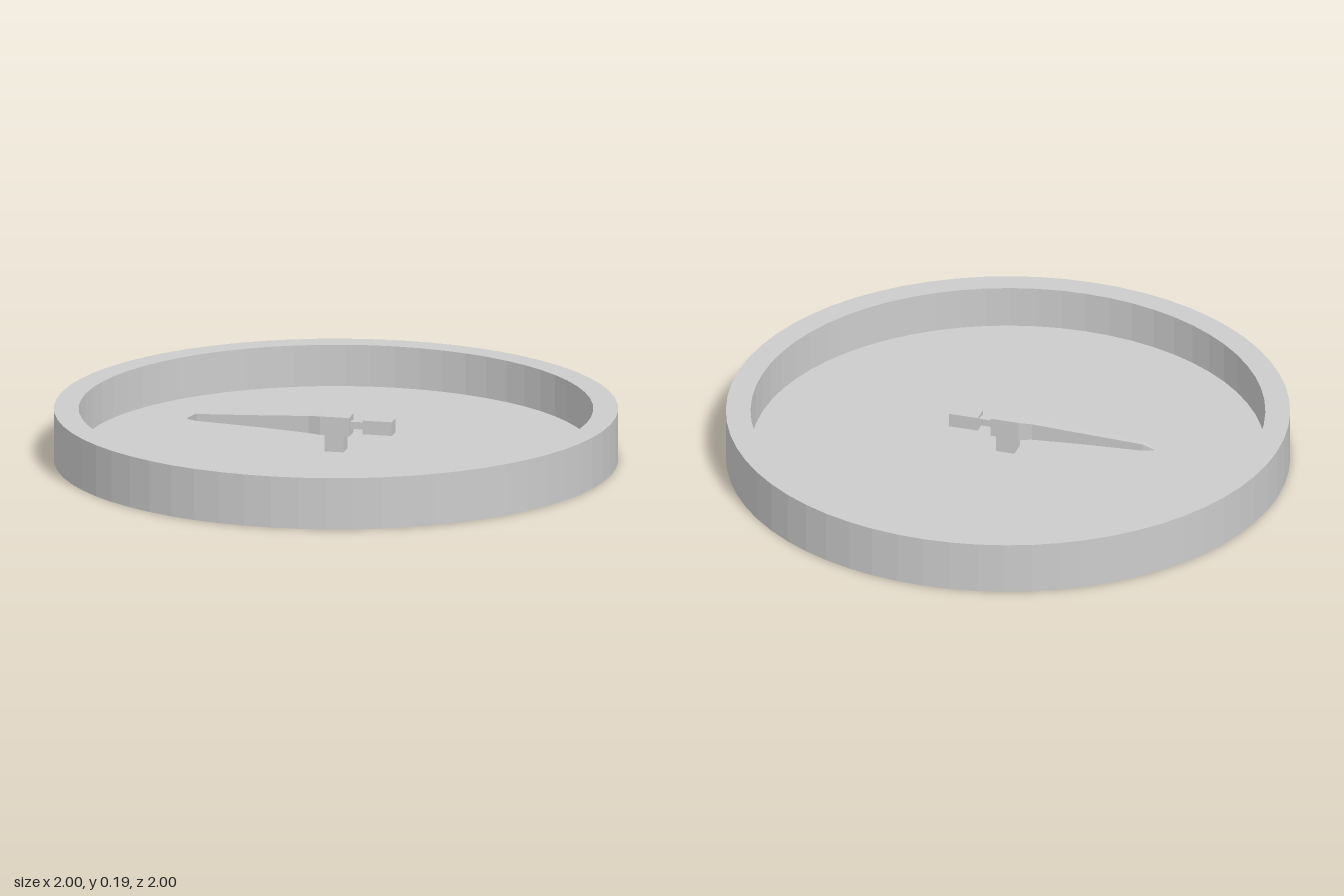
import * as THREE from 'three';

const material = new THREE.MeshStandardMaterial({ color: 0xcccccc, flatShading: true });

function add(group, name, geometry, x = 0, y = 0, z = 0) {
  const mesh = new THREE.Mesh(geometry, material);
  mesh.name = name;
  mesh.position.set(x, y, z);
  group.add(mesh);
}

// Skins a row of rectangular sections [x, halfWidth, bottom, top], listed from -x to +x
function loftSections(sections) {
  const positions = [];
  const index = [];
  for (const [x, w, bottom, top] of sections) {
    positions.push(x, bottom, w, x, bottom, -w, x, top, -w, x, top, w);
  }
  for (let s = 0; s < sections.length - 1; s++) {
    for (let k = 0; k < 4; k++) {
      const a = s * 4 + k;
      const b = s * 4 + ((k + 1) % 4);
      index.push(a, b, b + 4, a, b + 4, a + 4);
    }
  }
  const e = (sections.length - 1) * 4;
  index.push(0, 2, 1, 0, 3, 2, e, e + 1, e + 2, e, e + 2, e + 3);
  const geometry = new THREE.BufferGeometry();
  geometry.setAttribute('position', new THREE.Float32BufferAttribute(positions, 3));
  geometry.setIndex(index);
  geometry.computeVertexNormals();
  return geometry;
}

export function createModel() {
  const group = new THREE.Group();
  group.name = 'roundBasinWithArm';

  // Shallow round basin: underside, outer wall, rim, inner wall, floor
  const profile = [[0, 0], [1, 0], [1, 0.187], [0.912, 0.187], [0.912, 0.036], [0, 0.036]]
    .map(([r, y]) => new THREE.Vector2(r, y));
  add(group, 'basin', new THREE.LatheGeometry(profile, 64));

  // Square post on the basin floor
  add(group, 'post', new THREE.BoxGeometry(0.068, 0.075, 0.064), 0, 0.0725, 0);

  // Tapered arm with a wide hub and a pointed tip
  add(group, 'arm', loftSections([
    [-0.54, 0.002, 0.117, 0.122],
    [-0.505, 0.012, 0.115, 0.14],
    [-0.27, 0.016, 0.106, 0.15],
    [-0.095, 0.021, 0.097, 0.159],
    [-0.05, 0.033, 0.095, 0.163],
    [0.055, 0.033, 0.095, 0.163],
  ]));

  // Thin neck and counterweight behind the hub
  add(group, 'neck', new THREE.BoxGeometry(0.06, 0.026, 0.026), 0.08, 0.132, 0);
  add(group, 'counterweight', new THREE.BoxGeometry(0.107, 0.05, 0.06), 0.1565, 0.131, 0);

  return group;
}
